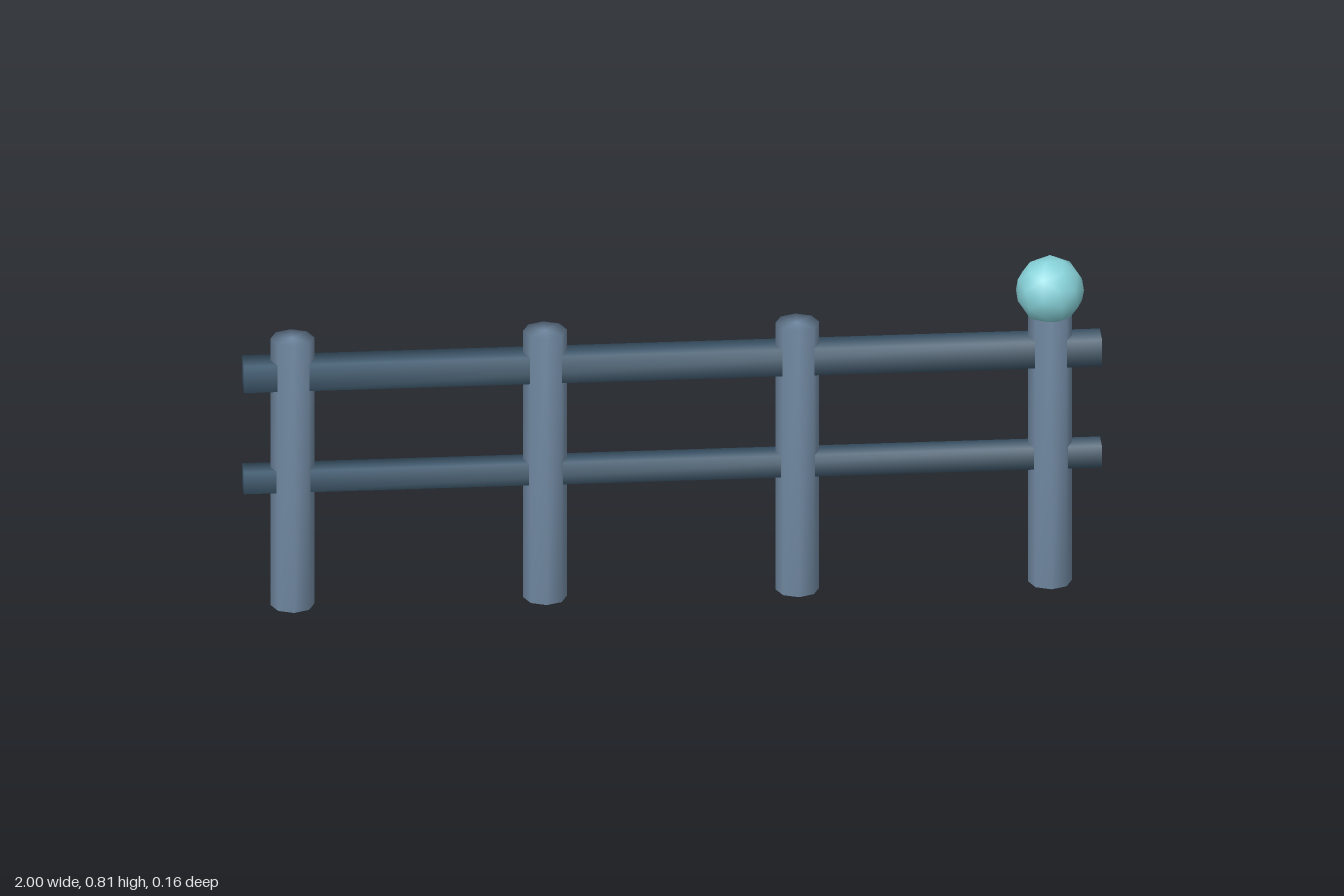
import * as THREE from 'three';
import { mergeVertices } from 'three/addons/utils/BufferGeometryUtils.js';

// Weld corners so the shading runs softly around the edges
function soften(geometry) {
  geometry.deleteAttribute('normal');
  geometry.deleteAttribute('uv');
  const welded = mergeVertices(geometry, 1e-4);
  welded.computeVertexNormals();
  return welded;
}

export function createModel() {
  const postPaint = new THREE.MeshStandardMaterial({ name: 'slateBlue', color: 0x7189a2 });
  const railPaint = new THREE.MeshStandardMaterial({ name: 'darkSlate', color: 0x3d586d });
  const ballPaint = new THREE.MeshStandardMaterial({ name: 'paleAqua', color: 0x88d3da });

  const fence = new THREE.Group();
  fence.name = 'fence';
  const add = (name, geometry, material, x, y) => {
    const mesh = new THREE.Mesh(geometry, material);
    mesh.name = name;
    mesh.position.set(x, y, 0);
    fence.add(mesh);
    return mesh;
  };

  // Four eight-sided posts
  const postHeight = 0.675;
  const postGeometry = soften(new THREE.CylinderGeometry(0.051, 0.051, postHeight, 8));
  [-0.885, -0.296, 0.292, 0.881].forEach((x, i) =>
    add(`post${i + 1}`, postGeometry, postPaint, x, postHeight / 2));

  // Square rails running through the posts
  const rail = (name, size, y) =>
    add(name, soften(new THREE.BoxGeometry(2, size, size)), railPaint, 0, y);
  rail('upperRail', 0.067, 0.587);
  rail('lowerRail', 0.055, 0.322);

  // Faceted ball on the left end post
  const ball = add('ballFinial', new THREE.IcosahedronGeometry(0.081, 1), ballPaint, 0.881, 0.737);
  ball.rotation.set(0.2, 0.3, 0.15);

  return fence;
}
